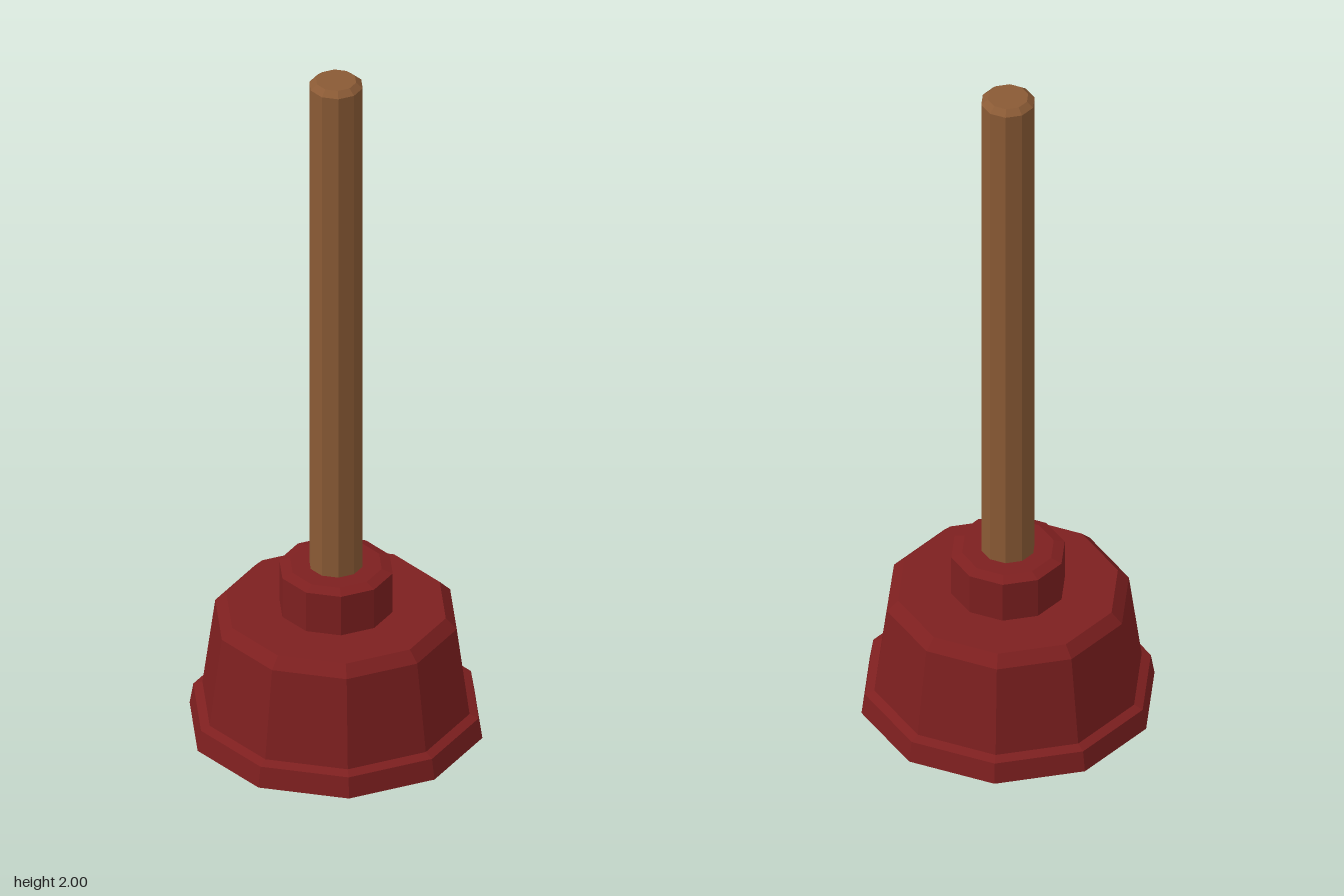
import * as THREE from 'three';

const SIDES = 10;

// Ten-sided faceted solid of revolution with a corner on the x axis
function turned(name, profile, color) {
  const points = profile.map(([r, y]) => new THREE.Vector2(r, y));
  const geometry = new THREE.LatheGeometry(points, SIDES, Math.PI / 2);
  const material = new THREE.MeshStandardMaterial({ color, flatShading: true });
  const mesh = new THREE.Mesh(geometry, material);
  mesh.name = name;
  return mesh;
}

export function createModel() {
  const model = new THREE.Group();
  model.name = 'plunger';
  const red = 0x7d1f1f;
  const wood = 0x8a5a35;

  // Hollow rubber cup: ceiling, inner wall, lip, outer wall, shoulder
  model.add(turned('rubberCup', [
    [0, 0.22], [0.27, 0.22], [0.32, 0],
    [0.4, 0], [0.39, 0.06], [0.365, 0.07],
    [0.33, 0.33], [0.3, 0.36], [0, 0.36],
  ], red));

  // Collar gripping the handle
  model.add(turned('collar', [
    [0.155, 0.355], [0.155, 0.48], [0.125, 0.49], [0, 0.49],
  ], red));

  // Wooden handle with a bevelled end
  model.add(turned('handle', [
    [0.073, 0.485], [0.073, 1.985], [0.055, 2], [0, 2],
  ], wood));

  return model;
}
